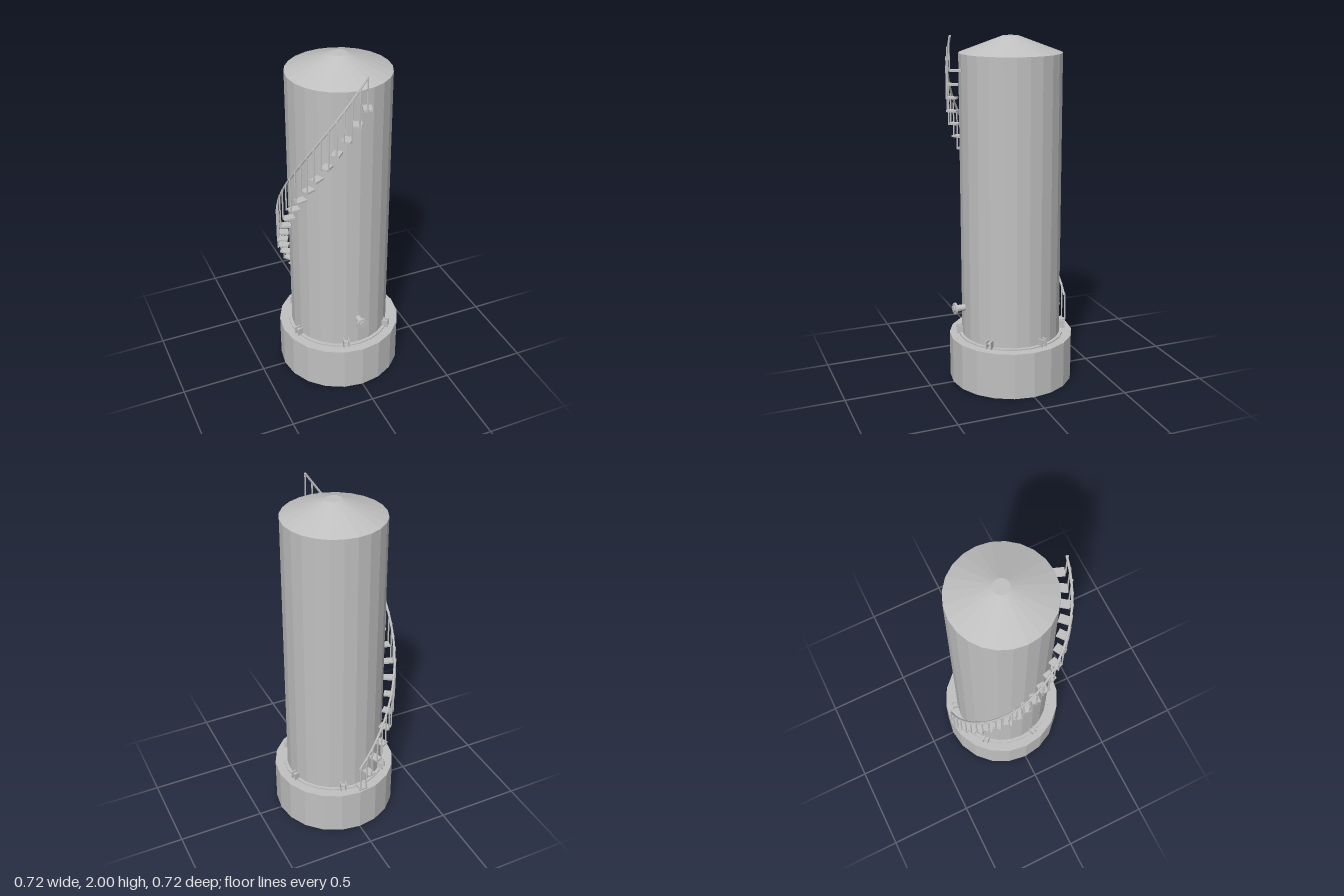
import * as THREE from 'three';

export function createModel() {
  const model = new THREE.Group();
  const grey = new THREE.MeshStandardMaterial({ color: 0xc0c0c0, flatShading: true });
  grey.name = 'light grey';
  const rad = THREE.MathUtils.degToRad;

  function add(name, geometry, x = 0, y = 0, z = 0, parent = model) {
    const mesh = new THREE.Mesh(geometry, grey);
    mesh.name = name;
    mesh.position.set(x, y, z);
    parent.add(mesh);
    return mesh;
  }

  // Foundation, foot ring, shell and conical roof
  add('foundation', new THREE.CylinderGeometry(0.359, 0.359, 0.27, 20), 0, 0.135, 0);
  add('footRing', new THREE.CylinderGeometry(0.305, 0.305, 0.008, 24), 0, 0.273, 0);
  add('tankShell', new THREE.CylinderGeometry(0.286, 0.286, 1.625, 24), 0, 1.0825, 0);
  add('roof', new THREE.CylinderGeometry(0.045, 0.286, 0.09, 24), 0, 1.94, 0);

  // Six anchor chairs: two upright plates and a cross plate
  for (let i = 0; i < 6; i++) {
    const chair = new THREE.Group();
    chair.name = 'anchorChair';
    chair.rotation.y = rad(15 + i * 60);
    for (const side of [-1, 1]) {
      add('anchorPlate', new THREE.BoxGeometry(0.036, 0.045, 0.007), 0.301, 0.295, side * 0.014, chair);
    }
    add('anchorCrossPlate', new THREE.BoxGeometry(0.022, 0.007, 0.028), 0.3, 0.302, 0, chair);
    model.add(chair);
  }

  // Front nozzle with flange and cap
  const nozzle = new THREE.Group();
  nozzle.name = 'nozzle';
  nozzle.position.y = 0.453;
  nozzle.rotation.x = Math.PI / 2;
  add('nozzlePipe', new THREE.CylinderGeometry(0.019, 0.019, 0.08, 16), 0, 0.305, 0, nozzle);
  add('nozzleFlange', new THREE.CylinderGeometry(0.034, 0.034, 0.012, 20), 0, 0.341, 0, nozzle);
  add('nozzleCap', new THREE.CylinderGeometry(0.02, 0.02, 0.008, 16), 0, 0.351, 0, nozzle);
  model.add(nozzle);

  // Spiral stair, climbing from the back round the -x side to the front
  const stair = new THREE.Group();
  stair.name = 'spiralStair';
  model.add(stair);
  const startAngle = 4.6, stepAngle = 9.38, rise = 0.0805, firstY = 0.282, steps = 20;
  const onCircle = (deg, r, y) =>
    new THREE.Vector3(-r * Math.sin(rad(deg)), y, -r * Math.cos(rad(deg)));

  // Treads turn a little less than the angle they climb through
  for (let i = 0; i < steps; i++) {
    const p = onCircle(startAngle + i * stepAngle, 0.323, firstY + i * rise);
    const tread = add('tread', new THREE.BoxGeometry(0.047, 0.011, 0.061), p.x, p.y, p.z, stair);
    tread.rotation.y = rad(startAngle + i * 8.18);
  }

  // Handrail
  const endAngle = 180.8;
  const railY = deg => 0.44 + 1.553 * deg / endAngle;
  const path = [];
  for (let i = 0; i <= 36; i++) {
    const deg = endAngle * i / 36;
    path.push(onCircle(deg, 0.347, railY(deg)));
  }
  const curve = new THREE.CatmullRomCurve3(path);
  add('handrail', new THREE.TubeGeometry(curve, 72, 0.0065, 8), 0, 0, 0, stair);
  for (const [end, turn] of [[0, -1], [1, 1]]) {
    const cap = add('handrailEnd', new THREE.CircleGeometry(0.0065, 8), 0, 0, 0, stair);
    const p = curve.getPoint(end);
    cap.position.copy(p);
    cap.lookAt(p.clone().addScaledVector(curve.getTangent(end), turn));
  }

  // Railing posts stand on the nearest tread
  const posts = 29;
  for (let i = 0; i < posts; i++) {
    const deg = 0.5 + (endAngle - 1) * i / (posts - 1);
    const step = THREE.MathUtils.clamp(Math.round((deg - startAngle) / stepAngle), 0, steps - 1);
    const bottom = firstY + step * rise - 0.006;
    const height = railY(deg) - bottom;
    const p = onCircle(deg, 0.353, bottom + height / 2);
    add('railingPost', new THREE.CylinderGeometry(0.0045, 0.0045, height, 8), p.x, p.y, p.z, stair);
  }

  return model;
}
